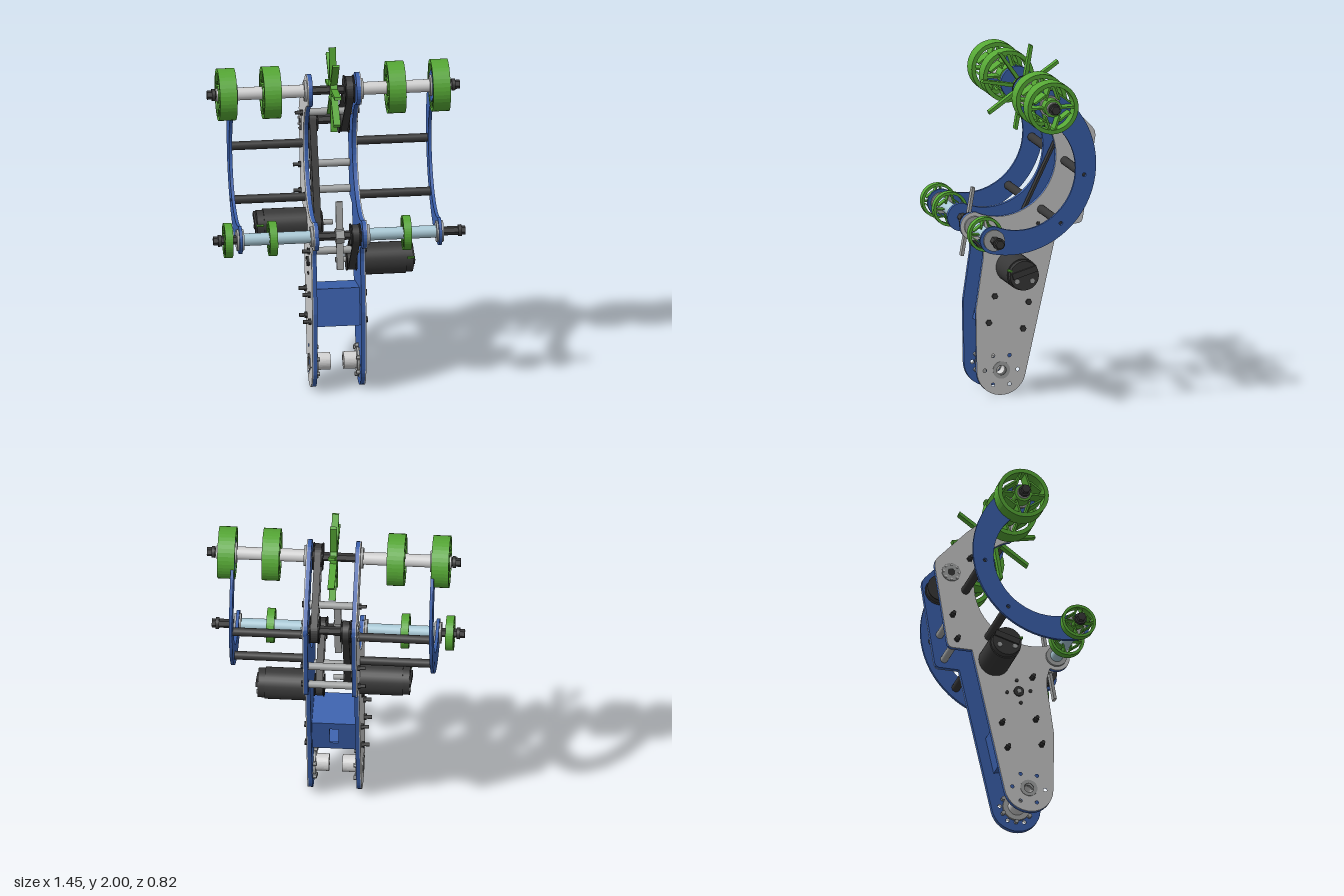
import * as THREE from 'three';

const mat = (name, color) => {
  const m = new THREE.MeshStandardMaterial({ color });
  m.name = name;
  return m;
};
const blue = mat('blue', 0x3a60ac), plateGrey = mat('plate grey', 0xc9c9c9), green = mat('green', 0x56a835),
  black = mat('black', 0x383838), steel = mat('steel', 0xa3a5a5), tubeGrey = mat('tube grey', 0xd2d2d2),
  paleBlue = mat('pale blue', 0xabcbd8);

// Side-profile coordinates: s points to the back (-z), y points up.
const LOW = [-0.31, 0.99], TOP = [0.02, 1.756], MID = [0.31, 1.448], MOTOR_A = [-0.09, 0.745], MOTOR_B = [0.055, 0.92],
  PIVOT = [-0.15, 0.145], ARC = [-0.214, 1.41];
const rad = Math.PI / 180;
const V = (x, y) => new THREE.Vector2(x, y);
const polar = (c, r, a) => V(c[0] + r * Math.cos(a), c[1] + r * Math.sin(a));
const arc = (c, r, a0, a1, n = 16) => Array.from({ length: n + 1 }, (_, i) => polar(c, r, (a0 + (a1 - a0) * i / n) * rad));

// One edge of the crescent, from the low shaft to the top shaft (side 1 = outer, -1 = inner)
const crescentEdge = side => Array.from({ length: 33 }, (_, i) => {
  const t = i / 32, bump = 4 * t * (1 - t);
  const mid = 0.431 - 0.013 * t + bump * 0.028, half = 0.08 + 0.01 * t - bump * 0.0275;
  return polar(ARC, mid + side * half, (-102.9 + 158.8 * t) * rad);
});

export function createModel() {
  const root = new THREE.Group();
  root.name = 'armMechanism';
  const add = (name, geo, material, parent = root) => {
    const m = new THREE.Mesh(geo, material);
    m.name = name;
    parent.add(m);
    return m;
  };
  // Extrude a side profile between x0 and x1
  const slab = (name, shape, x0, x1, material, parent = root) => {
    const g = new THREE.ExtrudeGeometry(shape, { depth: x1 - x0, bevelEnabled: false, curveSegments: 20 });
    g.rotateY(Math.PI / 2).translate(x0, 0, 0);
    return add(name, g, material, parent);
  };
  // Cylinder along x between x0 and x1
  const rod = (name, p, r, x0, x1, material, sides = 24, parent = root) => {
    const g = new THREE.CylinderGeometry(r, r, Math.abs(x1 - x0), sides);
    if (sides <= 8) g.copy(g.toNonIndexed()).computeVertexNormals();
    g.rotateZ(Math.PI / 2).translate((x0 + x1) / 2, p[1], -p[0]);
    return add(name, g, material, parent);
  };
  const hole = (shape, p, r) => shape.holes.push(new THREE.Path().absarc(p[0], p[1], r, 0, Math.PI * 2, true));
  const ring = (p, r0, r1) => {
    const s = new THREE.Shape().absarc(p[0], p[1], r1, 0, Math.PI * 2);
    hole(s, p, r0);
    return s;
  };

  // Main side plates: blue core with a grey outer skin
  const plate = new THREE.Shape([
    ...crescentEdge(-1), ...arc(TOP, 0.096, 230, 46),
    V(0.22, 1.71), V(0.39, 1.532), V(0.403, 1.512), V(0.407, 1.485), V(0.332, 1.005), V(0.323, 0.985), V(0.305, 0.977),
    V(0.185, 0.975), ...arc(PIVOT, 0.145, -12, -180),
    V(-0.3, 0.5), V(-0.257, 0.8), V(-0.258, 0.85), V(-0.268, 0.89),
    ...arc(LOW, 0.082, -65, -283),
  ]);
  hole(plate, PIVOT, 0.04);
  for (let i = 0; i < 6; i++) {
    const p = polar(PIVOT, 0.097, (i * 60 + 0) * rad);
    hole(plate, [p.x, p.y], 0.011);
  }
  hole(plate, MID, 0.03);
  const bolts = [[-0.17, 0.84], [-0.19, 0.578], [-0.225, 0.425], [0.01, 0.535], [-0.023, 0.382], [0.275, 1.03], [0.302, 1.18], [0.2, 1.545]];
  for (const s of [-1, 1]) {
    slab('sidePlate', plate, s > 0 ? 0.126 : -0.149, s > 0 ? 0.149 : -0.126, blue);
    slab('sidePlateSkin', plate, s > 0 ? 0.149 : -0.155, s > 0 ? 0.155 : -0.149, plateGrey);
    // Bolts through the plates
    for (const p of bolts) {
      rod('boltHead', p, 0.018, s * 0.155, s * 0.17, black, 6);
      if (s < 0) rod('boltEnd', p, 0.011, -0.17, -0.2, black, 10);
    }
    // Bearing flanges on the plates
    for (const p of [TOP, LOW]) slab('shaftBearing', ring(p, 0.025, 0.06), s > 0 ? 0.155 : -0.17, s > 0 ? 0.17 : -0.155, steel);
    slab('middleBearing', ring(MID, 0.022, 0.055), s > 0 ? 0.155 : -0.162, s > 0 ? 0.162 : -0.155, steel);
    for (let i = 0; i < 8; i++) {
      const p = polar(MID, 0.046, i * 45 * rad);
      rod('bearingScrew', [p.x, p.y], 0.007, s * 0.162, s * 0.168, tubeGrey, 8);
    }
    // Pivot hubs at the foot
    slab('pivotFlange', ring(PIVOT, 0.032, 0.08), s > 0 ? 0.113 : -0.126, s > 0 ? 0.126 : -0.113, steel);
    slab('pivotHub', ring(PIVOT, 0.03, 0.05), s > 0 ? 0.038 : -0.113, s > 0 ? 0.113 : -0.038, tubeGrey);
    slab('pivotBush', ring(PIVOT, 0.028, 0.05), s > 0 ? 0.155 : -0.159, s > 0 ? 0.159 : -0.155, steel);
    for (let i = 0; i < 6; i++) {
      const p = polar(PIVOT, 0.09, (i * 60 + 30) * rad);
      rod('pivotScrew', [p.x, p.y], 0.013, s * 0.126, s * 0.105, steel, 6);
    }
  }

  // Outer crescent arms with end bearings
  const arm = new THREE.Shape([
    ...crescentEdge(1), ...arc(TOP, 0.09, 56, 236), ...crescentEdge(-1).reverse(), ...arc(LOW, 0.08, 77, 257),
  ]);
  for (const p of [[0.225, 1.345], [0.087, 1.07]]) hole(arm, p, 0.011);
  for (const s of [-1, 1]) {
    slab('crescentArm', arm, s > 0 ? 0.564 : -0.582, s > 0 ? 0.582 : -0.564, blue);
    for (const p of [LOW, TOP]) rod('armBearing', p, 0.062, s * 0.553, s * 0.594, steel);
    for (const p of [[0.225, 1.345], [0.087, 1.07]]) rod('crossBar', p, 0.025, s * 0.155, s * 0.564, black, 16);
    rod('topTube', TOP, 0.037, s * 0.165, s * 0.675, tubeGrey);
    rod('lowerTube', LOW, 0.036, s * 0.155, s * 0.562, paleBlue);
    for (const p of [TOP, LOW]) rod('shaftCollar', p, 0.034, s * 0.68, s * 0.7, black);
  }
  rod('topShaft', TOP, 0.026, -0.727, 0.727, black, 6);
  rod('lowerShaft', LOW, 0.026, -0.727, 0.722, black, 6);
  rod('middleShaft', MID, 0.026, -0.16, 0.16, black, 6);

  // Spoked wheels
  const wheel = (p, r, x0, x1) => {
    const g = new THREE.Group();
    g.name = 'wheel';
    root.add(g);
    slab('rim', ring(p, r * 0.84, r), x0, x1, green, g);
    slab('hub', ring(p, r * 0.2, r * 0.34), x0, x1, green, g);
    for (let i = 0; i < 10; i++) {
      const a = i * 36 * rad, c = polar(p, r * 0.6, a);
      const geo = new THREE.BoxGeometry((x1 - x0) * 0.9, r * 0.55, r * 0.075);
      geo.rotateX(Math.PI / 2 - a + Math.PI).translate((x0 + x1) / 2, c.y, -c.x);
      add('spoke', geo, green, g);
    }
  };
  for (const x of [-0.666, -0.41, 0.306, 0.56]) wheel(TOP, 0.15, x, x + 0.1);
  for (const x of [-0.666, -0.41, 0.36]) wheel(LOW, 0.1, x, x + 0.046);

  // Star with eight tapered blades
  rod('starHub', TOP, 0.06, -0.02, 0.02, green);
  for (let i = 0; i < 8; i++) {
    const a = (79 + i * 45) * rad, at = (r, off) => V(TOP[0] + r * Math.cos(a) - off * Math.sin(a), TOP[1] + r * Math.sin(a) + off * Math.cos(a));
    slab('starBlade', new THREE.Shape([at(0.05, -0.014), at(0.245, -0.008), at(0.25, 0.01), at(0.05, 0.008)]), -0.02, 0.02, green);
  }

  // Flat paddle on the lower shaft
  const paddle = new THREE.BoxGeometry(0.04, 0.4, 0.017);
  paddle.rotateX(-0.17).translate(0, LOW[1], -LOW[0]);
  add('paddle', paddle, steel);
  rod('paddleHub', LOW, 0.045, -0.025, 0.025, steel, 6);

  // Belt drives: pulleys with flanges and a belt loop
  const beltLoop = (a, b, r) => {
    const dir = Math.atan2(b[1] - a[1], b[0] - a[0]) / rad;
    return [...arc(b, r, dir - 90, dir + 90), ...arc(a, r, dir + 90, dir + 270)];
  };
  const drive = (a, b, x, r) => {
    const s = new THREE.Shape(beltLoop(a, b, r));
    s.holes.push(new THREE.Path(beltLoop(a, b, r - 0.014)));
    slab('belt', s, x - 0.02, x + 0.02, black);
    for (const p of [a, b]) {
      rod('pulley', p, r - 0.015, x - 0.03, x + 0.03, black);
      for (const e of [-0.027, 0.027]) rod('pulleyFlange', p, r + 0.006, x + e - 0.003, x + e + 0.003, black);
    }
  };
  drive(TOP, MID, 0.09, 0.075);
  drive(LOW, MOTOR_A, 0.09, 0.06);
  drive(MOTOR_B, MID, -0.09, 0.06);

  // Standoffs between the plates
  for (const p of [[0.2, 1.545], [0.302, 1.18], [0.275, 1.03], [-0.17, 0.84]]) rod('standoff', p, 0.022, -0.126, 0.126, steel, 16);

  // Motors on opposite sides
  const motor = (p, s) => {
    rod('motorBody', p, 0.092, s * 0.155, s * 0.4, black, 32);
    rod('motorCap', p, 0.085, s * 0.4, s * 0.44, black, 32);
    rod('motorShaft', p, 0.016, s * 0.155, 0, steel, 12);
    for (const e of [-0.045, 0.045]) rod('motorTerminal', [p[0] + e, p[1] - 0.03], 0.014, s * 0.44, s * 0.447, steel, 12);
    const bar = new THREE.BoxGeometry(0.014, 0.035, 0.15);
    bar.rotateX(0.3).translate(s * 0.444, p[1] + 0.02, -p[0]);
    add('motorBrushBar', bar, black);
    const tab = new THREE.BoxGeometry(0.04, 0.008, 0.02);
    add('motorTab', tab.translate(s * 0.425, p[1] + 0.03, 0.083 - p[0]), green);
  };
  motor(MOTOR_A, 1);
  motor(MOTOR_B, -1);
  for (const s of [-1, 1]) {
    const p0 = s > 0 ? MOTOR_B : MOTOR_A;
    rod('shaftEndBearing', p0, 0.03, s * 0.155, s * 0.165, black);
    rod('shaftEndCore', p0, 0.013, s * 0.165, s * 0.169, steel, 6);
    for (let i = 0; i < 4; i++) {
      const p = polar(p0, 0.07, (i * 90 - 10) * rad);
      rod('motorScrew', [p.x, p.y], 0.011, s * 0.155, s * 0.162, black, 8);
    }
  }

  // Tilted blue box brace with a slot in its back wall
  const brace = new THREE.Group();
  brace.name = 'boxBrace';
  brace.position.set(0, 0.48, 0.107);
  brace.rotation.x = -0.22;
  root.add(brace);
  const wall = (w, h, d, y, z) => add('braceWall', new THREE.BoxGeometry(w, h, d).translate(0, y, z), blue, brace);
  wall(0.252, 0.22, 0.012, 0, 0.11);
  wall(0.252, 0.012, 0.22, 0.104, 0);
  wall(0.252, 0.012, 0.22, -0.104, 0);
  const back = new THREE.Shape([V(-0.126, -0.11), V(0.126, -0.11), V(0.126, 0.11), V(-0.126, 0.11)]);
  back.holes.push(new THREE.Path([V(-0.025, -0.06), V(-0.025, 0.06), V(0.025, 0.06), V(0.025, -0.06)]));
  add('braceBack', new THREE.ExtrudeGeometry(back, { depth: 0.012, bevelEnabled: false }).translate(0, 0, -0.116), blue, brace);

  return root;
}
